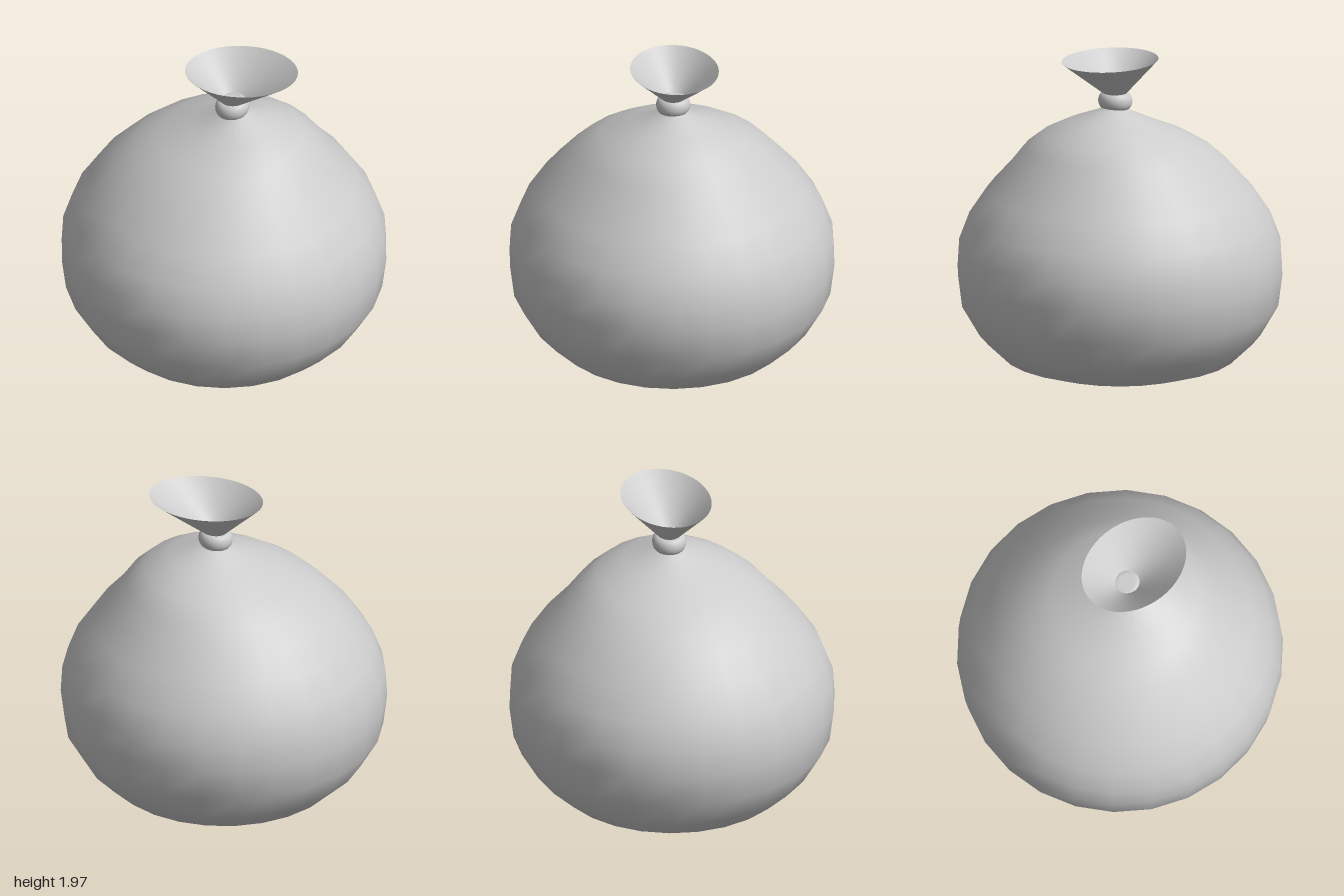
import * as THREE from 'three';

// Skin through tilted elliptical rings, each [left x, left y, right x, right y, z radius]
function loft(rings, sides, name, side = THREE.FrontSide) {
  const pos = [], index = [];
  rings.forEach(([xl, yl, xr, yr, rz], r) => {
    for (let i = 0; i < sides; i++) {
      const a = (i / sides) * Math.PI * 2, s = Math.sin(a);
      pos.push((xl + xr) / 2 + s * (xr - xl) / 2, (yl + yr) / 2 + s * (yr - yl) / 2, rz * Math.cos(a));
      if (r === 0) continue;
      const j = (i + 1) % sides, lo = (r - 1) * sides, hi = r * sides;
      index.push(lo + i, lo + j, hi + j, lo + i, hi + j, hi + i);
    }
  });
  const geo = new THREE.BufferGeometry();
  geo.setAttribute('position', new THREE.Float32BufferAttribute(pos, 3));
  geo.setIndex(index);
  geo.computeVertexNormals();
  const mesh = new THREE.Mesh(geo, new THREE.MeshStandardMaterial({ color: 0xcccccc, side }));
  mesh.name = name;
  return mesh;
}

// Flat round plate, facing up or down
function disc(radius, sides, x, y, up, name) {
  const geo = new THREE.CircleGeometry(radius, sides, Math.PI / 2);
  geo.rotateX(up ? -Math.PI / 2 : Math.PI / 2);
  const mesh = new THREE.Mesh(geo, new THREE.MeshStandardMaterial({ color: 0xcccccc }));
  mesh.position.set(x, y, 0);
  mesh.name = name;
  return mesh;
}

export function createModel() {
  const group = new THREE.Group();
  group.name = 'tiedSack';
  const sides = 26;

  // Bulging sack: round below, gathered towards an off-centre neck
  const level = [[0.54, 0], [0.72, 0.06], [0.865, 0.2], [0.975, 0.39], [1, 0.59], [0.99, 0.76], [0.927, 0.93], [0.815, 1.1]];
  const sack = level.map(([r, y]) => [-r, y, r, y, r]);
  sack.push(
    [-0.69, 1.24, 0.7, 1.235, 0.69],
    [-0.56, 1.35, 0.6, 1.38, 0.58],
    [-0.41, 1.44, 0.49, 1.485, 0.45],
    [-0.22, 1.525, 0.335, 1.575, 0.275],
    [-0.03, 1.615, 0.15, 1.635, 0.085],
    [0.0, 1.66, 0.12, 1.67, 0.06],
  );
  group.add(loft(sack, sides, 'sack'));
  group.add(disc(0.54, sides, 0, 0, false, 'sackBottom'));

  // Rounded cord around the neck, slightly tilted
  const cord = [];
  for (let k = 0; k <= 10; k++) {
    const t = -Math.PI / 2 + (k / 10) * Math.PI;
    const r = 0.055 + 0.05 * Math.pow(Math.cos(t) + 1e-6, 0.75);
    const y = 1.68 + 0.054 * Math.sin(t);
    cord.push([0.052 - r, y - 0.006, 0.052 + r, y + 0.006, r]);
  }
  group.add(loft(cord, 32, 'neckCord'));

  // Open flared mouth and the pinched floor inside it
  const mouth = [[-0.005, 1.715, 0.12, 1.725, 0.062], [-0.24, 1.935, 0.46, 1.965, 0.27]];
  group.add(loft(mouth, 48, 'mouth', THREE.DoubleSide));
  group.add(disc(0.063, 32, 0.058, 1.722, true, 'mouthFloor'));

  return group;
}
